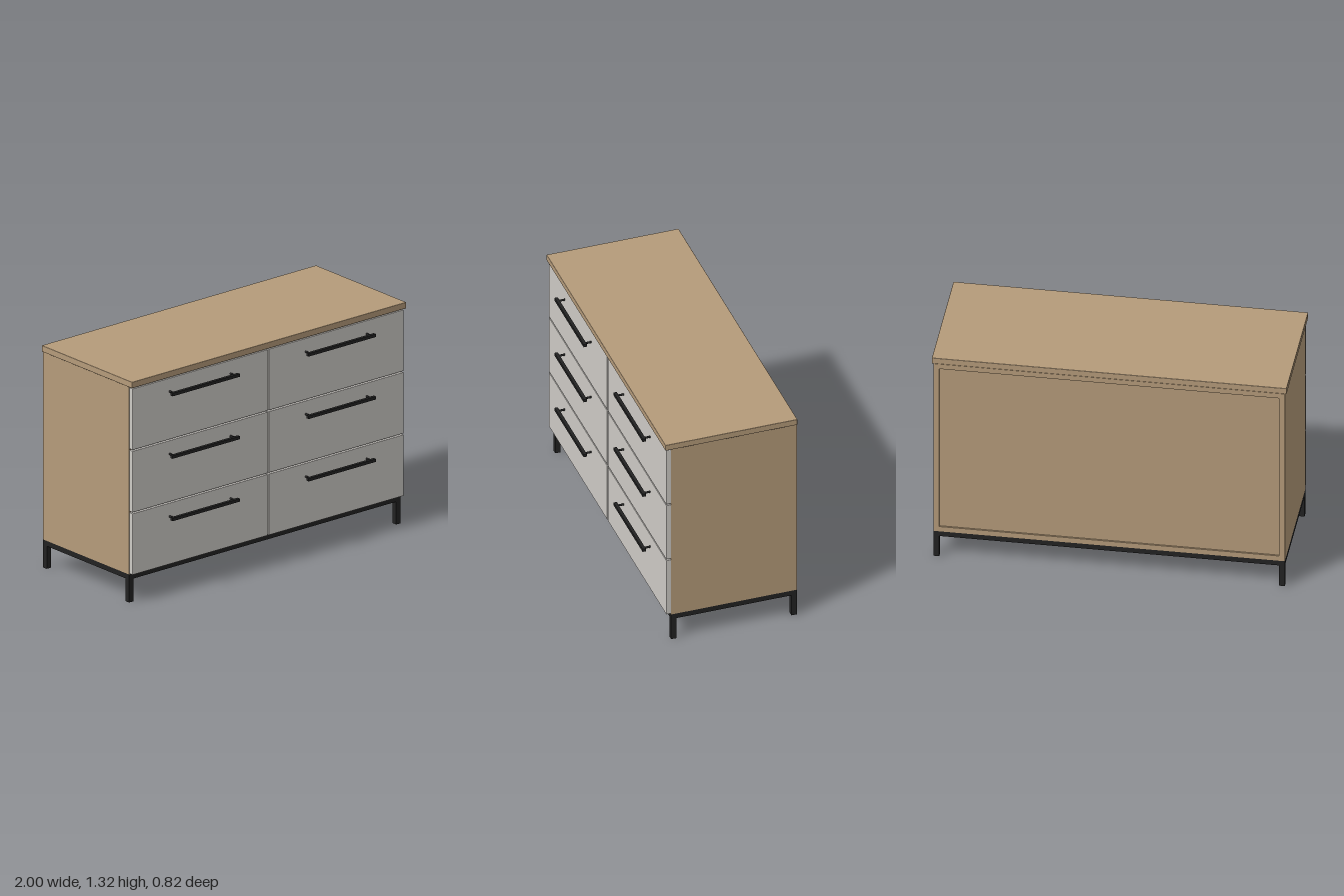
import * as THREE from 'three';
import { RoundedBoxGeometry } from 'three/addons/geometries/RoundedBoxGeometry.js';

const wood = new THREE.MeshStandardMaterial({ color: 0xb59b7a });
const paint = new THREE.MeshStandardMaterial({ color: 0xcfccc7 });
const metal = new THREE.MeshStandardMaterial({ color: 0x222222 });

// Box given by its extents on each axis; a radius eases its edges
function box(parent, name, material, [x0, x1], [y0, y1], [z0, z1], radius = 0) {
  const size = [x1 - x0, y1 - y0, z1 - z0];
  const geometry = radius ? new RoundedBoxGeometry(...size, 2, radius) : new THREE.BoxGeometry(...size);
  const mesh = new THREE.Mesh(geometry, material);
  mesh.name = name;
  mesh.position.set((x0 + x1) / 2, (y0 + y1) / 2, (z0 + z1) / 2);
  parent.add(mesh);
  return mesh;
}

function group(parent, name) {
  const g = new THREE.Group();
  g.name = name;
  parent.add(g);
  return g;
}

const W = 0.99, BACK = -0.41, FRONT = 0.332;   // carcass extents
const BASE = 0.166, TOP = 1.283;
const T = 0.032;                               // panel and steel thickness
const PITCH = 0.3705, DRAWER_H = 0.363;

// Bar handle on two round posts, centred on x, y
function addHandle(parent, x, y) {
  const handle = group(parent, 'handle');
  box(handle, 'handleBar', metal, [x - 0.245, x + 0.245], [y - 0.009, y + 0.009], [0.394, 0.413]);
  for (const side of [-1, 1]) {
    const post = new THREE.Mesh(new THREE.CylinderGeometry(0.006, 0.006, 0.036, 16), metal);
    post.name = 'handlePost';
    post.rotation.x = Math.PI / 2;
    post.position.set(x + side * 0.222, y, 0.377);
    handle.add(post);
  }
}

export function createModel() {
  const model = new THREE.Group();
  model.name = 'dresser';

  // Steel base: four legs and a rectangular frame
  const base = group(model, 'base');
  for (const s of [-1, 1]) {
    const x = s < 0 ? [-W, -W + T] : [W - T, W];
    const z = s < 0 ? [BACK, BACK + T] : [FRONT - T, FRONT];
    box(base, 'sideRail', metal, x, [0.135, BASE], [BACK + T, FRONT - T]);
    box(base, 'longRail', metal, [-W, W], [0.135, BASE], z);
    for (const legX of [[-W, -W + T], [W - T, W]]) box(base, 'leg', metal, legX, [0, 0.135], z);
  }

  // Carcass with a slightly recessed back panel
  const carcass = group(model, 'carcass');
  box(carcass, 'leftSide', wood, [W - T, W], [BASE, TOP], [BACK, FRONT]);
  box(carcass, 'rightSide', wood, [-W, -W + T], [BASE, TOP], [BACK, FRONT]);
  box(carcass, 'bottomPanel', wood, [-W + T, W - T], [BASE, BASE + T], [BACK, FRONT]);
  box(carcass, 'topRail', wood, [-W + T, W - T], [TOP - T, TOP], [BACK, FRONT]);
  box(carcass, 'backPanel', wood, [-W + T, W - T], [BASE + T, TOP - T], [BACK + 0.009, BACK + 0.025]);
  box(carcass, 'divider', wood, [-T / 2, T / 2], [BASE + T, TOP - T], [BACK + 0.025, FRONT]);
  for (const i of [1, 2]) {
    const y = 0.167 + i * PITCH;
    for (const s of [-1, 1]) {
      const x = s < 0 ? [-W + T, -T / 2] : [T / 2, W - T];
      box(carcass, 'drawerRail', wood, x, [y - T / 2, y + T / 2], [FRONT - 0.06, FRONT]);
    }
  }

  // Top slab overhangs the sides and front
  box(model, 'topSlab', wood, [-1, 1], [TOP, 1.32], [BACK, 0.369], 0.003);

  // Two columns of three drawer fronts
  const drawers = group(model, 'drawers');
  for (const s of [-1, 1]) {
    for (let i = 0; i < 3; i++) {
      const y = 0.171 + i * PITCH;
      const drawer = group(drawers, 'drawer');
      const x = s < 0 ? [-0.988, -0.005] : [0.005, 0.988];
      box(drawer, 'drawerFront', paint, x, [y, y + DRAWER_H], [FRONT, 0.36], 0.002);
      addHandle(drawer, s * 0.496, y + 0.284);
    }
  }
  return model;
}
